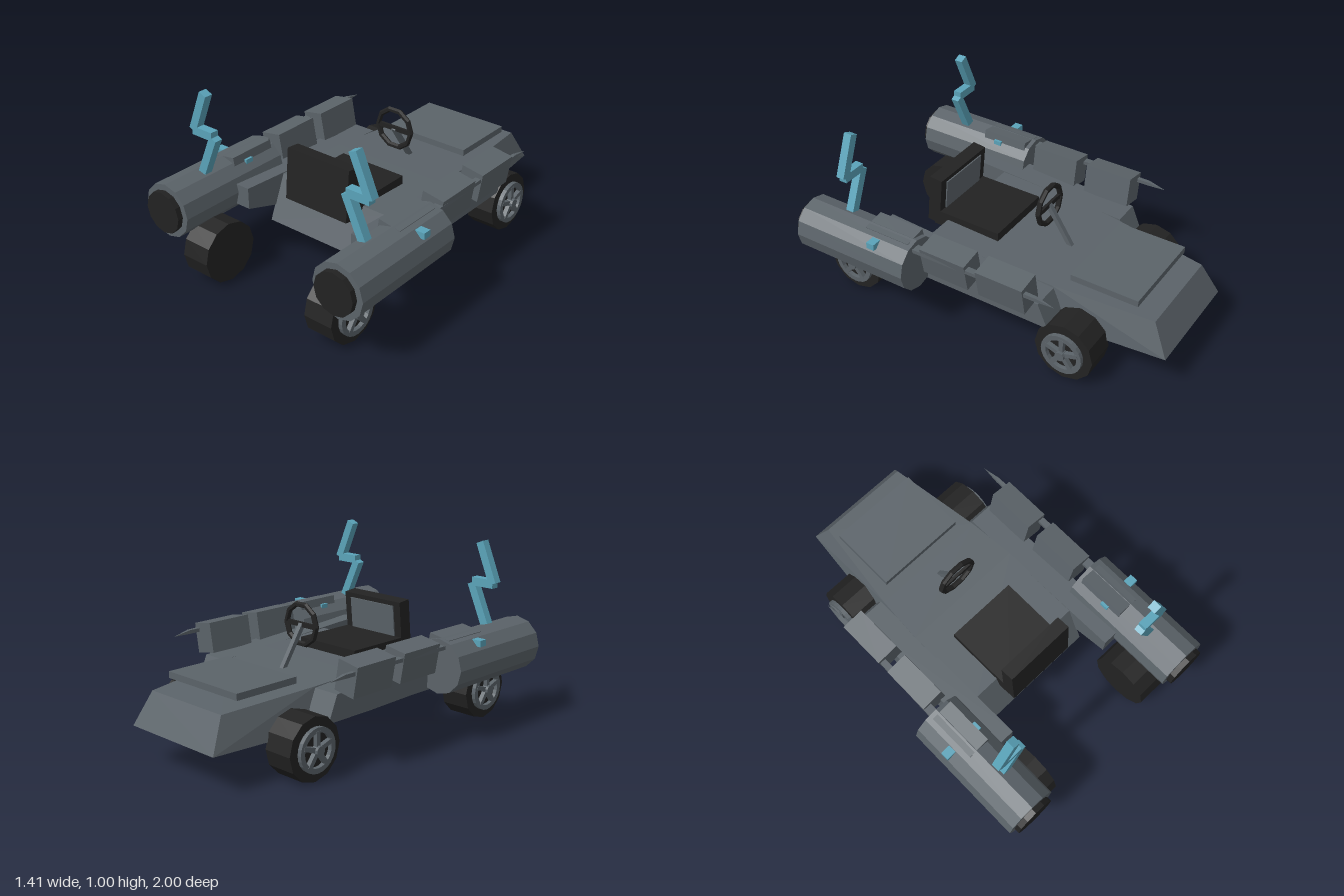
import * as THREE from 'three';
import { ConvexGeometry } from 'three/addons/geometries/ConvexGeometry.js';

const material = (name, color) => {
  const m = new THREE.MeshStandardMaterial({ color, flatShading: true });
  m.name = name;
  return m;
};

export function createModel() {
  const grey = material('body grey', 0x5b6369);
  const black = material('rubber black', 0x222222);
  const blue = material('electric blue', 0x5aa3b9);
  const car = new THREE.Group();
  car.name = 'car';

  const add = (name, geometry, mat, parent = car, pos = [0, 0, 0]) => {
    const mesh = new THREE.Mesh(geometry, mat);
    mesh.name = name;
    mesh.position.set(...pos);
    parent.add(mesh);
    return mesh;
  };
  const box = (w, h, d) => new THREE.BoxGeometry(w, h, d);
  const hullOf = (pts) => new ConvexGeometry(pts.map((p) => new THREE.Vector3(...p)));

  // Hull: each row is floor z, floor half width, deck z, deck half width, deck height
  const sections = [
    [-1.0, 0.305, -0.91, 0.26, 0.37],
    [-0.42, 0.362, -0.37, 0.33, 0.403],
    [0.0, 0.362, -0.1, 0.35, 0.419],
    [0.46, 0.345, 0.36, 0.345, 0.437],
  ];
  const hullPoints = [];
  for (const [zb, wb, zt, wt, y] of sections)
    for (const s of [-1, 1]) hullPoints.push([s * wb, 0.2, zb], [s * wt, y, zt]);
  add('hull', hullOf(hullPoints), grey);
  add('hoodPlate', box(0.51, 0.035, 0.38), grey, car, [0, 0.43, -0.62]);

  // Seat
  add('seatBase', box(0.4, 0.09, 0.41), black, car, [0, 0.427, 0.245]);
  const back = add('seatBack', box(0.4, 0.28, 0.075), black, car, [0, 0.533, 0.44]);
  back.rotation.x = -0.1;
  add('seatBackPad', box(0.31, 0.17, 0.009), grey, back, [0, 0.03, -0.04]);

  // Steering wheel, crossbar and column
  const rim = add('steeringWheel', new THREE.TorusGeometry(0.108, 0.015, 6, 10), black, car, [0, 0.612, -0.147]);
  add('steeringCrossbar', box(0.2, 0.025, 0.015), black, rim);
  const column = add('steeringColumn', box(0.025, 0.27, 0.025), grey, car, [0, 0.5, -0.218]);
  column.rotation.x = Math.atan2(0.14, 0.215);

  // Five-spoke wheel with its outer face towards s
  const ringShape = new THREE.Shape().absarc(0, 0, 0.115, 0, Math.PI * 2);
  ringShape.holes.push(new THREE.Path().absarc(0, 0, 0.088, 0, Math.PI * 2, true));
  const ringGeometry = new THREE.ExtrudeGeometry(ringShape, { depth: 0.025, bevelEnabled: false, curveSegments: 12 });
  const makeWheel = (name, s, z) => {
    const wheel = new THREE.Group();
    wheel.name = name;
    wheel.position.set(s * 0.41, 0.165, z);
    wheel.rotation.y = s * Math.PI / 2;
    car.add(wheel);
    const tyre = add('tyre', new THREE.CylinderGeometry(0.165, 0.165, 0.165, 12), black, wheel);
    tyre.rotation.x = Math.PI / 2;
    add('rimRing', ringGeometry, grey, wheel, [0, 0, 0.08]);
    for (let i = 0; i < 5; i++) {
      const a = Math.PI / 2 + i * Math.PI * 2 / 5;
      const spoke = add('spoke', box(0.09, 0.024, 0.026), grey, wheel, [Math.cos(a) * 0.052, Math.sin(a) * 0.052, 0.094]);
      spoke.rotation.z = a;
    }
    const cap = add('hubCap', new THREE.CylinderGeometry(0.026, 0.026, 0.04, 10), grey, wheel, [0, 0, 0.102]);
    cap.rotation.x = Math.PI / 2;
  };

  for (const s of [1, -1]) {
    const side = s > 0 ? 'left' : 'right';
    makeWheel(side + 'RearWheel', s, 0.78);
    makeWheel(side + 'FrontWheel', s, -0.537);

    // Side beam carrying the engine
    const beam = [];
    for (const x of [0.34, 0.488])
      beam.push([s * x, 0.27, -0.44], [s * x, 0.4, -0.385], [s * x, 0.457, 0.62], [s * x, 0.34, 0.62], [s * x, 0.27, 0.4]);
    add(side + 'Beam', hullOf(beam), grey);

    // Engine tube and nozzle
    const engine = add(side + 'Engine', new THREE.CylinderGeometry(0.147, 0.147, 0.685, 12), grey, car, [s * 0.557, 0.412, 0.628]);
    const nozzle = add(side + 'Nozzle', new THREE.CylinderGeometry(0.114, 0.114, 0.06, 12), black, car, [s * 0.557, 0.412, 0.97]);
    engine.rotation.x = nozzle.rotation.x = Math.PI / 2;

    // Tilted boxes along the beam
    for (const z of [-0.23, 0.105, 0.445]) {
      const pod = add(side + 'Pod', box(0.125, 0.162, 0.27), grey, car, [s * 0.526, 0.481, z]);
      pod.rotation.z = -s * 0.17;
    }

    // Spear running through the boxes
    const spear = [[s * 0.575, 0.508, -0.53]];
    for (const y of [0.508, 0.528])
      spear.push([s * 0.565, y, -0.43], [s * 0.585, y, -0.43], [s * 0.55, y, 0.3], [s * 0.6, y, 0.3]);
    add(side + 'Spear', hullOf(spear), grey);

    // Blue crossbar and lightning bolt
    add(side + 'EngineBar', box(0.23, 0.034, 0.046), blue, car, [s * 0.572, 0.52, 0.485]);
    const bolt = new THREE.Group();
    bolt.name = side + 'Bolt';
    car.add(bolt);
    const strokes = [
      [0.472, 0.992, 0.563, 0.775],
      [0.43, 0.774, 0.565, 0.774],
      [0.424, 0.765, 0.526, 0.535],
    ];
    for (const [x1, y1, x2, y2] of strokes) {
      const bar = add('boltStroke', box(Math.hypot(x2 - x1, y2 - y1), 0.046, 0.046), blue, bolt,
        [s * (x1 + x2) / 2, (y1 + y2) / 2, 0.735]);
      bar.rotation.z = s * Math.atan2(y2 - y1, x2 - x1);
    }
  }
  return car;
}
